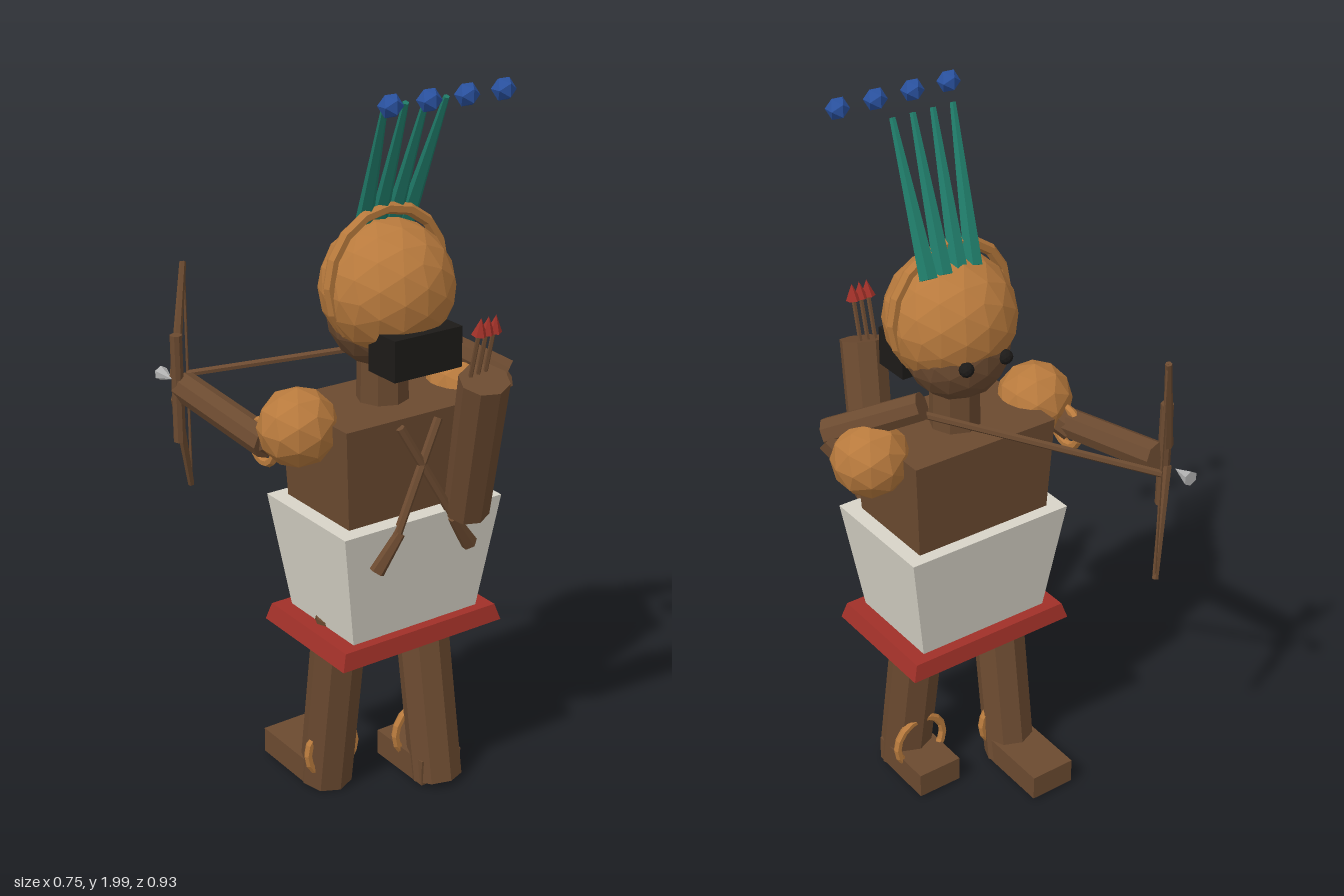
import * as THREE from 'three';

const mat = (color) => new THREE.MeshStandardMaterial({ color, flatShading: true });
const V = (p) => new THREE.Vector3(...p);

export function createModel() {
  const model = new THREE.Group();
  const skin = mat(0x6b4a30), gold = mat(0xb87a3d), red = mat(0xa03028), cloth = mat(0xd8d4c8);
  const teal = mat(0x1f7a68), blue = mat(0x2a52a0), black = mat(0x1c1a18), steel = mat(0xb0b0b0);

  function add(name, geometry, material, pos = [0, 0, 0]) {
    const mesh = new THREE.Mesh(geometry, material);
    mesh.name = name;
    mesh.position.set(...pos);
    model.add(mesh);
    return mesh;
  }
  // straight rod from a to b, radius ra at a and rb at b
  function rod(name, a, b, ra, rb, material, sides = 8) {
    const dir = V(b).sub(V(a));
    const mesh = add(name, new THREE.CylinderGeometry(rb, ra, dir.length(), sides), material);
    mesh.position.copy(V(a).add(V(b)).multiplyScalar(0.5));
    mesh.quaternion.setFromUnitVectors(new THREE.Vector3(0, 1, 0), dir.normalize());
    return mesh;
  }
  // four-sided block with different half sizes at bottom and top
  function block(name, y0, y1, [bx, bz], [tx, tz], material, x, z) {
    const g = new THREE.BoxGeometry(2, y1 - y0, 2);
    const p = g.attributes.position;
    for (let i = 0; i < p.count; i++) {
      const top = p.getY(i) > 0;
      p.setX(i, p.getX(i) * (top ? tx : bx));
      p.setZ(i, p.getZ(i) * (top ? tz : bz));
    }
    return add(name, g, material, [x, (y0 + y1) / 2, z]);
  }
  const ball = (name, r, detail, material, pos) =>
    add(name, new THREE.IcosahedronGeometry(r, detail), material, pos);
  const ring = (name, r, tube, material, pos) =>
    add(name, new THREE.TorusGeometry(r, tube, 6, 16), material, pos);

  // body and clothing
  block('torso', 0.75, 1.15, [0.2, 0.135], [0.22, 0.15], skin, 0.01, 0.085);
  block('skirt', 0.555, 0.88, [0.2, 0.145], [0.25, 0.18], cloth, 0.01, 0.09);
  const q = Math.SQRT2;
  const profile = [[0.72, 0.556], [0.72, 0.51], [1, 0.51], [0.945, 0.556], [0.72, 0.556]]
    .map(([r, y]) => new THREE.Vector2(r * q, y));
  const hemGeometry = new THREE.LatheGeometry(profile, 4, Math.PI / 4);
  hemGeometry.scale(0.258, 1, 0.185);
  const hem = add('skirtHem', hemGeometry, red.clone(), [0.01, 0, 0.088]);
  hem.material.side = THREE.DoubleSide;

  // legs, feet and ankle rings
  for (const [x, zBottom, zRing, footZ] of [[-0.122, 0, 0.03, -0.105], [0.135, 0.17, 0.085, 0.09]]) {
    rod('leg', [x, 0.02, zBottom], [x - 0.005, 0.57, 0.085], 0.074, 0.074, skin);
    add('foot', new THREE.BoxGeometry(0.135, 0.075, 0.21), skin, [x, 0.053, footZ]);
    ring('ankleRing', 0.078, 0.012, gold, [x, 0.125, zRing]);
  }

  // head
  add('neck', new THREE.CylinderGeometry(0.065, 0.07, 0.2, 8), skin, [0.01, 1.22, 0.08]);
  ball('face', 0.14, 2, skin, [0.01, 1.38, 0.07]);
  ball('hood', 0.175, 2, gold, [0.01, 1.455, 0.098]);
  ring('headband', 0.176, 0.016, gold, [0.01, 1.48, 0.097]);
  for (const side of [-1, 1]) ball('eye', 0.02, 1, black, [0.01 + side * 0.06, 1.385, -0.06]);
  add('headBox', new THREE.BoxGeometry(0.208, 0.108, 0.11), black, [0.01, 1.323, 0.22]);

  // feathers with floating beads
  for (let i = 0; i < 4; i++) {
    rod('feather', [-0.03 + i * 0.045, 1.6, 0.05], [-0.107 + i * 0.06, 1.95, 0.247], 0.024, 0.008, teal, 5);
    ball('bead', 0.031, 0, blue, [-0.154 + i * 0.11, 1.97, 0.333]);
  }

  // arm holding the bow
  ball('shoulder', 0.105, 1, gold, [-0.255, 1.13, 0.085]);
  rod('upperArm', [-0.255, 1.13, 0.08], [-0.31, 1.07, -0.02], 0.042, 0.042, skin);
  rod('forearm', [-0.305, 1.075, 0.02], [-0.335, 1.125, -0.34], 0.042, 0.042, skin);
  ring('armRing', 0.055, 0.012, gold, [-0.3, 1.07, -0.005]).rotation.y = Math.PI / 2;

  // arm drawing the string
  ball('shoulder', 0.105, 1, gold, [0.272, 1.13, 0.082]);
  rod('upperArm', [0.28, 1.08, 0.08], [0.335, 1.17, 0.17], 0.042, 0.042, skin);
  rod('forearm', [0.335, 1.175, 0.185], [0.165, 1.285, 0], 0.042, 0.038, skin);

  // bow, string and nocked arrow
  rod('bowGrip', [-0.358, 0.975, -0.335], [-0.358, 1.275, -0.335], 0.017, 0.017, skin);
  for (const s of [-1, 1]) {
    rod('bowLimb', [-0.36, 1.125 + s * 0.03, -0.345], [-0.286, 1.125 + s * 0.32, -0.41], 0.014, 0.009, skin, 6);
  }
  rod('bowString', [-0.285, 0.805, -0.409], [-0.285, 1.445, -0.409], 0.004, 0.004, skin, 5);
  rod('arrowShaft', [-0.285, 1.13, -0.41], [0.18, 1.262, 0.025], 0.01, 0.01, skin, 6);
  rod('arrowHead', [-0.335, 1.125, -0.465], [-0.335, 1.125, -0.405], 0.021, 0, steel, 6);

  // quiver with its arrows
  rod('quiver', [0.14, 0.87, 0.275], [0.085, 1.28, 0.402], 0.06, 0.065, skin);
  for (const x of [0.062, 0.085, 0.108]) {
    rod('quiverShaft', [x, 1.24, 0.365], [x, 1.405, 0.405], 0.006, 0.006, skin, 5);
    rod('quiverTip', [x, 1.4, 0.405], [x, 1.445, 0.412], 0.02, 0, red, 6);
  }

  // crossed straps on the back
  for (const s of [-1, 1]) {
    const at = (x, y, z) => [0.01 + s * x, y, z];
    rod('strap', at(0.1, 0.84, 0.275), at(-0.06, 1.13, 0.24), 0.012, 0.012, skin, 6);
    rod('strapEnd', at(0.15, 0.765, 0.262), at(0.085, 0.86, 0.277), 0.024, 0.014, skin, 6);
  }
  return model;
}
